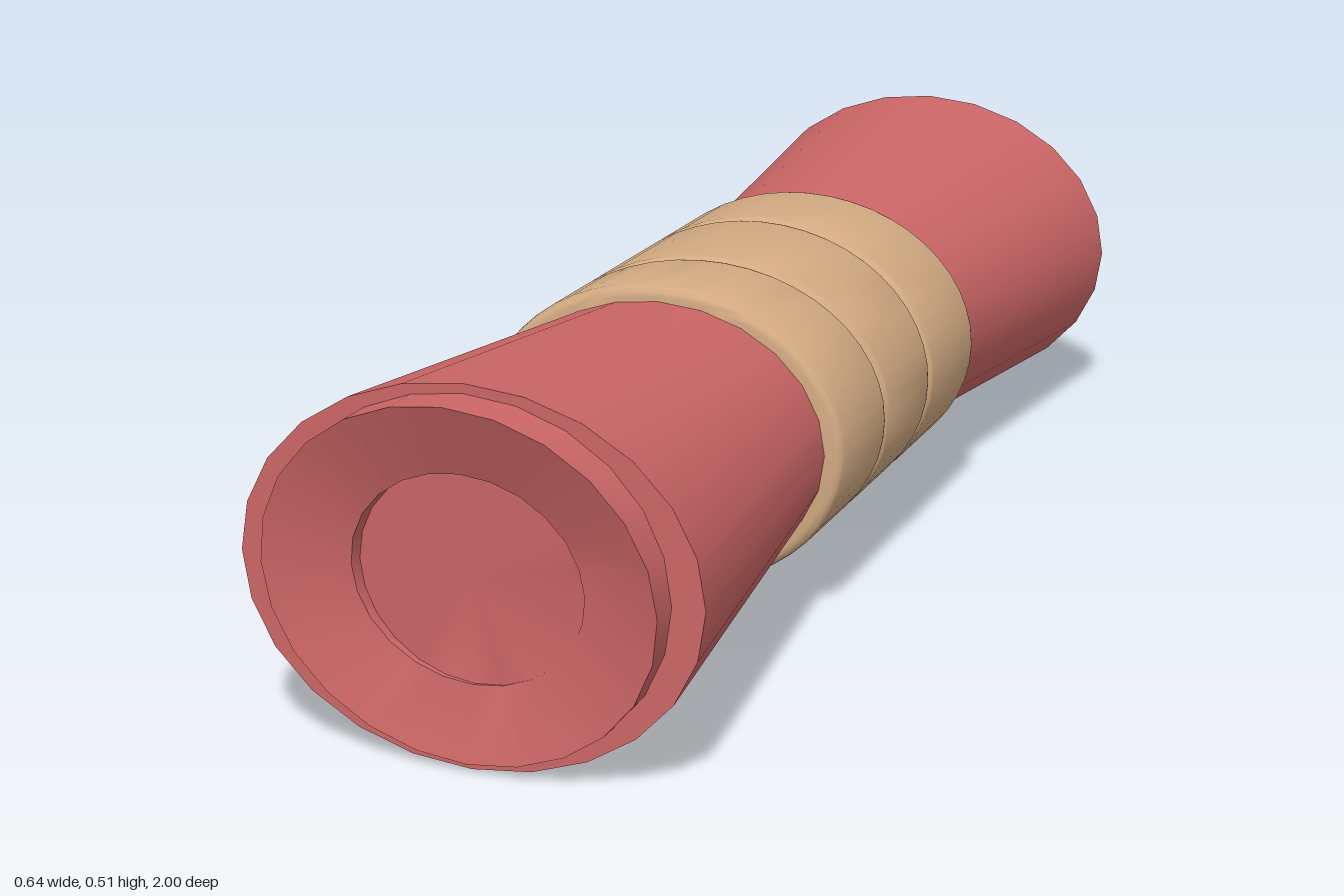
import * as THREE from 'three';
import { toCreasedNormals } from 'three/addons/utils/BufferGeometryUtils.js';

// Skin elliptical rings [rx, ry, z], from back to front; z is a number or a rule z(x, y)
function loft(rings, sides) {
  const point = ([rx, ry, z], j) => {
    const a = ((j % sides) / sides) * Math.PI * 2;
    const x = rx * Math.cos(a), y = ry * Math.sin(a);
    return [x, y, typeof z === 'function' ? z(x, y) : z];
  };
  const pos = [];
  for (let i = 0; i + 1 < rings.length; i++) {
    for (let j = 0; j < sides; j++) {
      const a = point(rings[i], j), b = point(rings[i], j + 1);
      const c = point(rings[i + 1], j + 1), d = point(rings[i + 1], j);
      if (rings[i][0] > 0) pos.push(...a, ...b, ...c);
      if (rings[i + 1][0] > 0) pos.push(...a, ...c, ...d);
    }
  }
  const geo = new THREE.BufferGeometry();
  geo.setAttribute('position', new THREE.Float32BufferAttribute(pos, 3));
  return toCreasedNormals(geo, 0.6);
}

// Tilted plane across the tube
const plane = (z, sx = 0, sy = 0) => (x, y) => z + sx * x + sy * y;

// Band between two tilted planes, with rounded rims
function bandRings(back, front) {
  const rx = 0.277, ry = 0.222, bevel = 0.015, steps = 4;
  const rings = [[0.225, 0.18, back]];
  for (let i = 0; i <= steps; i++) {
    const t = (i / steps) * Math.PI / 2;
    const inset = bevel * (1 - Math.sin(t)), along = bevel * (1 - Math.cos(t));
    rings.push([rx - inset, ry - inset, (x, y) => back(x, y) + along]);
  }
  for (let i = steps; i >= 0; i--) {
    const t = (i / steps) * Math.PI / 2;
    const inset = bevel * (1 - Math.sin(t)), along = bevel * (1 - Math.cos(t));
    rings.push([rx - inset, ry - inset, (x, y) => front(x, y) - along]);
  }
  rings.push([0.225, 0.18, front]);
  return rings;
}

export function createModel() {
  const model = new THREE.Group();
  model.name = 'flaredRoll';
  const red = new THREE.MeshStandardMaterial({ color: 0xcc6666 });
  const tan = new THREE.MeshStandardMaterial({ color: 0xd2aa82 });

  const add = (name, geometry, material) => {
    const mesh = new THREE.Mesh(geometry, material);
    mesh.name = name;
    mesh.position.y = 0.257;
    model.add(mesh);
  };

  // Flared body with a slanted lip and a recess at each end
  const backLip = plane(-0.977, 0, -0.092);
  const backFloor = plane(-0.95, 0, -0.092);
  const frontLip = plane(0.977, 0.026, 0.092);
  const funnelEnd = plane(0.942, 0.026, 0.092);
  const frontFloor = (x, y) =>
    funnelEnd(x, y) - 0.014 * (1 - (x / 0.163 - y / 0.144) / Math.SQRT2);
  add('body', loft([
    [0, 0, backFloor],
    [0.2, 0.177, backFloor],
    [0.2, 0.177, backLip],
    [0.275, 0.243, backLip],
    [0.275, 0.243, -0.948],
    [0.32, 0.256, -0.948],
    [0.25, 0.2, -0.31],
    [0.25, 0.2, 0.31],
    [0.32, 0.256, 0.938],
    [0.275, 0.243, 0.938],
    [0.275, 0.243, frontLip],
    [0.163, 0.144, funnelEnd],
    [0.163, 0.144, frontFloor],
    [0, 0, frontFloor],
  ], 24), red);

  // Three wrapped bands, separated by slightly tilted seams
  const seams = [
    plane(-0.322),
    plane(-0.106, 0.03, -0.05),
    plane(0.132, -0.083, 0.01),
    plane(0.308),
  ];
  ['backBand', 'middleBand', 'frontBand'].forEach((name, i) => {
    add(name, loft(bandRings(seams[i], seams[i + 1]), 48), tan);
  });

  return model;
}
